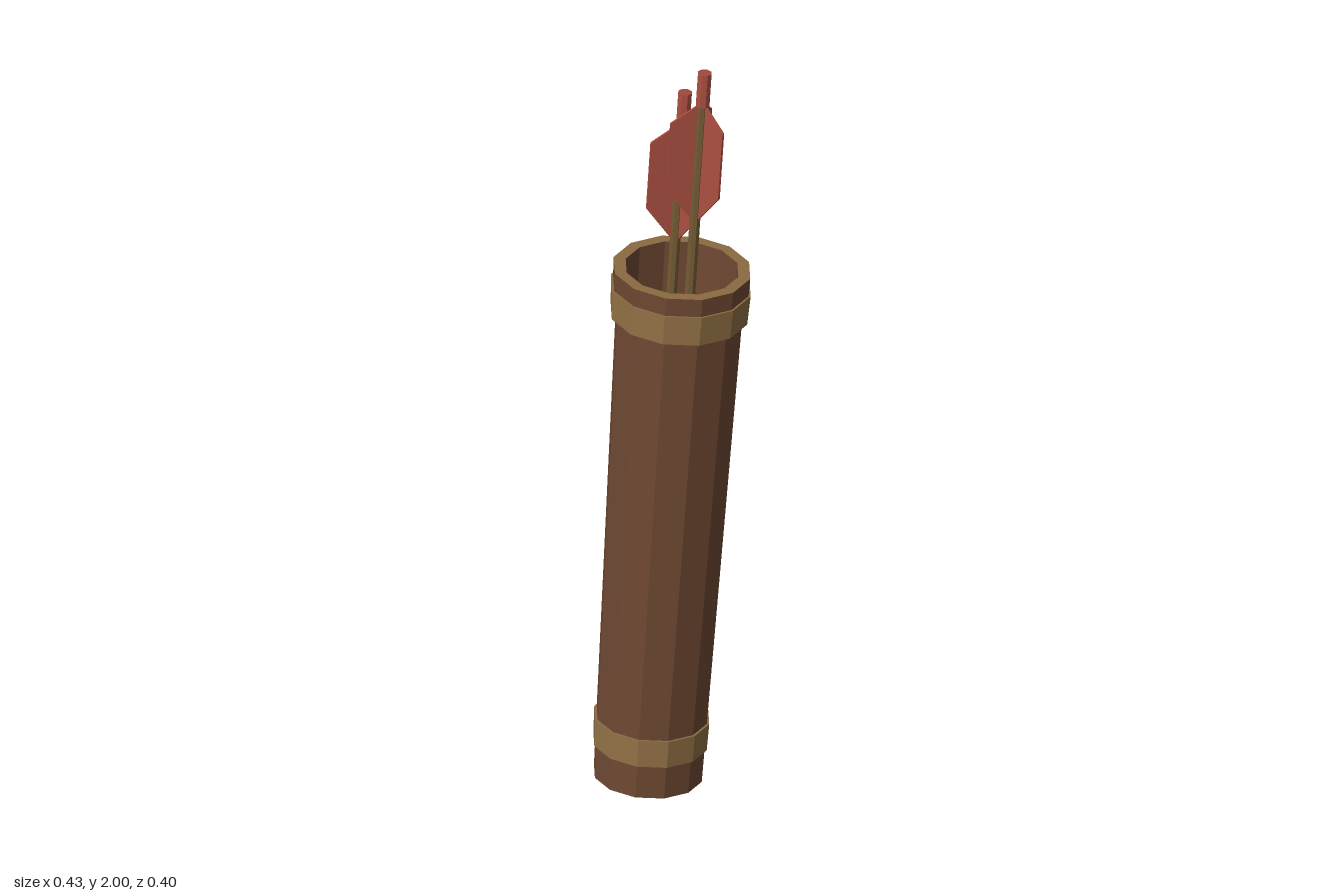
import * as THREE from 'three';

const mat = (name, color) => Object.assign(new THREE.MeshStandardMaterial({ color }), { name });
const DEG = Math.PI / 180;

export function createModel() {
  const leather = mat('brown leather', 0x6b4630);
  const strap = mat('tan strap', 0x8e6e44);
  const wood = mat('shaft wood', 0x6f5632);
  const red = mat('red feather', 0xa54c3e);
  const steel = mat('steel', 0x84929a);

  const model = new THREE.Group();
  model.name = 'quiverWithArrows';

  // Shared lean of the quiver and its arrows
  const axis = new THREE.Vector3(0.093, 1, -0.071).normalize();
  const lean = new THREE.Quaternion().setFromUnitVectors(new THREE.Vector3(0, 1, 0), axis);

  const leaning = (name, x, y, z) => {
    const g = new THREE.Group();
    g.name = name;
    g.position.set(x, y, z);
    g.quaternion.copy(lean);
    model.add(g);
    return g;
  };
  const add = (parent, name, geometry, material) => {
    const flat = geometry.index ? geometry.toNonIndexed() : geometry;
    flat.computeVertexNormals();
    const mesh = new THREE.Mesh(flat, material);
    mesh.name = name;
    parent.add(mesh);
    return mesh;
  };
  // Faceted turned part from [radius, height] pairs
  const turned = (points, sides, start = 0) =>
    new THREE.LatheGeometry(points.map(p => new THREE.Vector2(...p)), sides, start);

  // Quiver: twelve-sided leather tube, hollow, with a thicker lip
  const quiver = leaning('quiver', -0.083, 0.044, 0.068);
  const spin = -5 * DEG, H = 1.391;
  add(quiver, 'body', turned([[0, 0], [0.135, 0], [0.158, 1.28], [0.168, 1.28], [0.171, H]], 12, spin), leather);
  add(quiver, 'lining', turned([[0.141, H], [0.118, 0.02], [0, 0.02]], 12, spin), leather);
  add(quiver, 'rim', turned([[0.171, H], [0.141, H]], 12, spin), strap);
  add(quiver, 'lowerBand', turned([[0.13, 0.088], [0.142, 0.088], [0.144, 0.16], [0.13, 0.16]], 12, spin), strap);
  add(quiver, 'upperBand', turned([[0.15, 1.265], [0.171, 1.265], [0.175, 1.343], [0.15, 1.343]], 12, spin), strap);

  // Feather outline, measured outward from the shaft and down from the nock
  const vane = new THREE.Shape([[0, -0.08], [0.078, -0.135], [0.078, -0.315], [0.012, -0.4], [0, -0.4]]
    .map(p => new THREE.Vector2(...p)));

  // Arrows, each hung from the top of its nock
  const L = 1.873;
  [['frontArrow', 0.095, 1.998, -0.004], ['backArrow', 0.095, 1.862, -0.134]].forEach(([name, x, y, z]) => {
    const arrow = leaning(name, x, y, z);
    add(arrow, 'shaft', new THREE.CylinderGeometry(0.014, 0.014, L - 0.2, 8), wood).position.y = -(L - 0.1) / 2 - 0.01;
    add(arrow, 'nock', new THREE.CylinderGeometry(0.018, 0.018, 0.09, 8), red).position.y = -0.045;
    for (let i = 0; i < 3; i++) {
      const g = new THREE.ExtrudeGeometry(vane, { depth: 0.006, bevelEnabled: false });
      g.translate(0, 0, -0.003);
      add(arrow, 'feather', g, red).rotation.y = (51 + 120 * i) * DEG;
    }
    // Four-sided head with a recessed socket
    add(arrow, 'arrowhead', turned(
      [[0, -L], [0.05, -L + 0.16], [0.034, -L + 0.16], [0.014, -L + 0.11]], 4, 0), steel);
  });

  return model;
}
